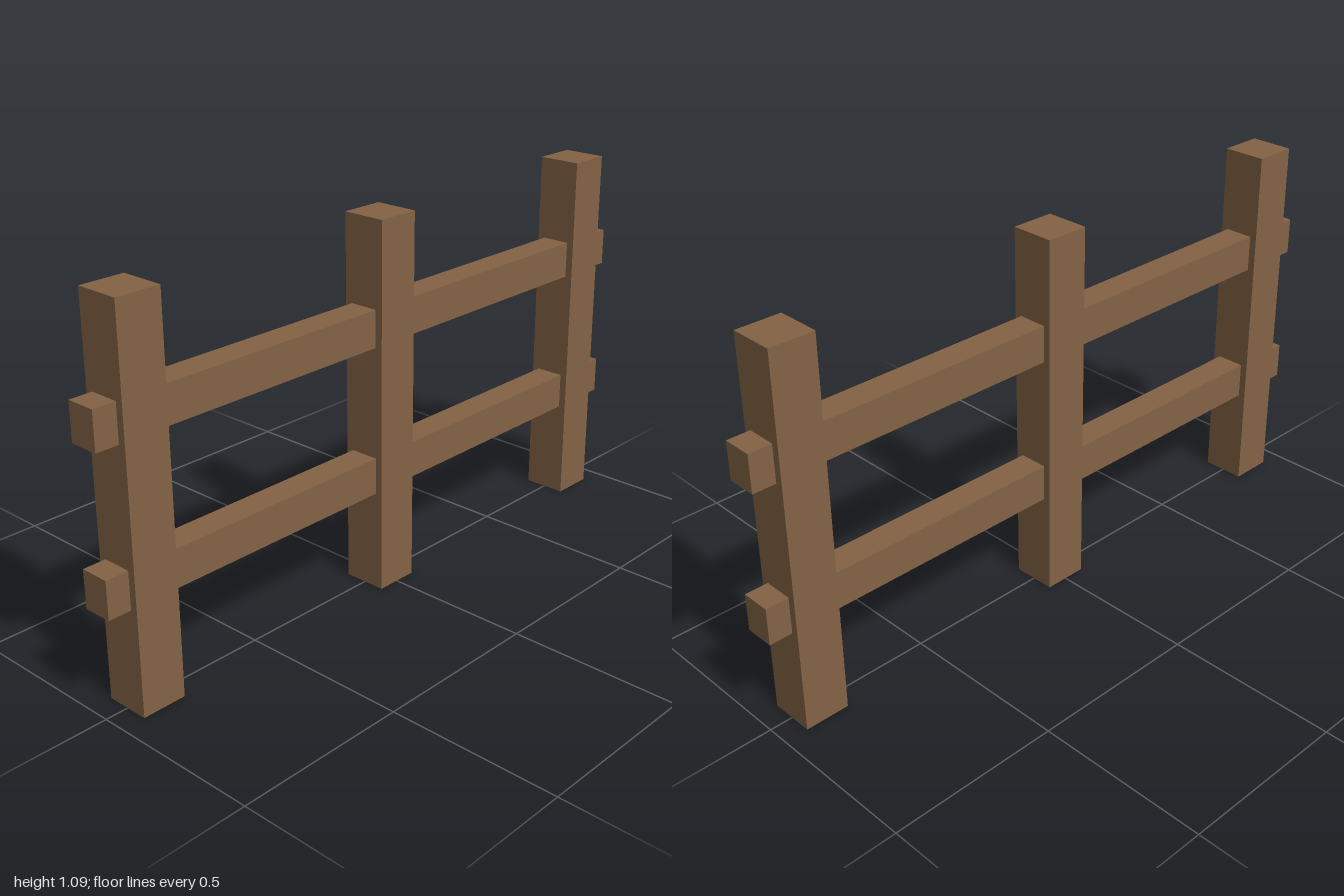
import * as THREE from 'three';

export function createModel() {
  const fence = new THREE.Group();
  fence.name = 'fence';
  const wood = new THREE.MeshStandardMaterial({ color: 0x846346 });
  wood.name = 'brown wood';

  const addBeam = (name, size, position) => {
    const beam = new THREE.Mesh(new THREE.BoxGeometry(...size), wood);
    beam.name = name;
    beam.position.set(...position);
    fence.add(beam);
  };

  // Upright posts
  const postHeight = 1.087;
  [['rightPost', -0.868], ['middlePost', 0], ['leftPost', 0.868]].forEach(([name, x]) =>
    addBeam(name, [0.13, postHeight, 0.13], [x, postHeight / 2, 0]));

  // Horizontal rails running through the posts
  [['lowerRail', 0.349], ['upperRail', 0.783]].forEach(([name, y]) =>
    addBeam(name, [2, 0.108, 0.086], [0, y, 0]));

  return fence;
}
